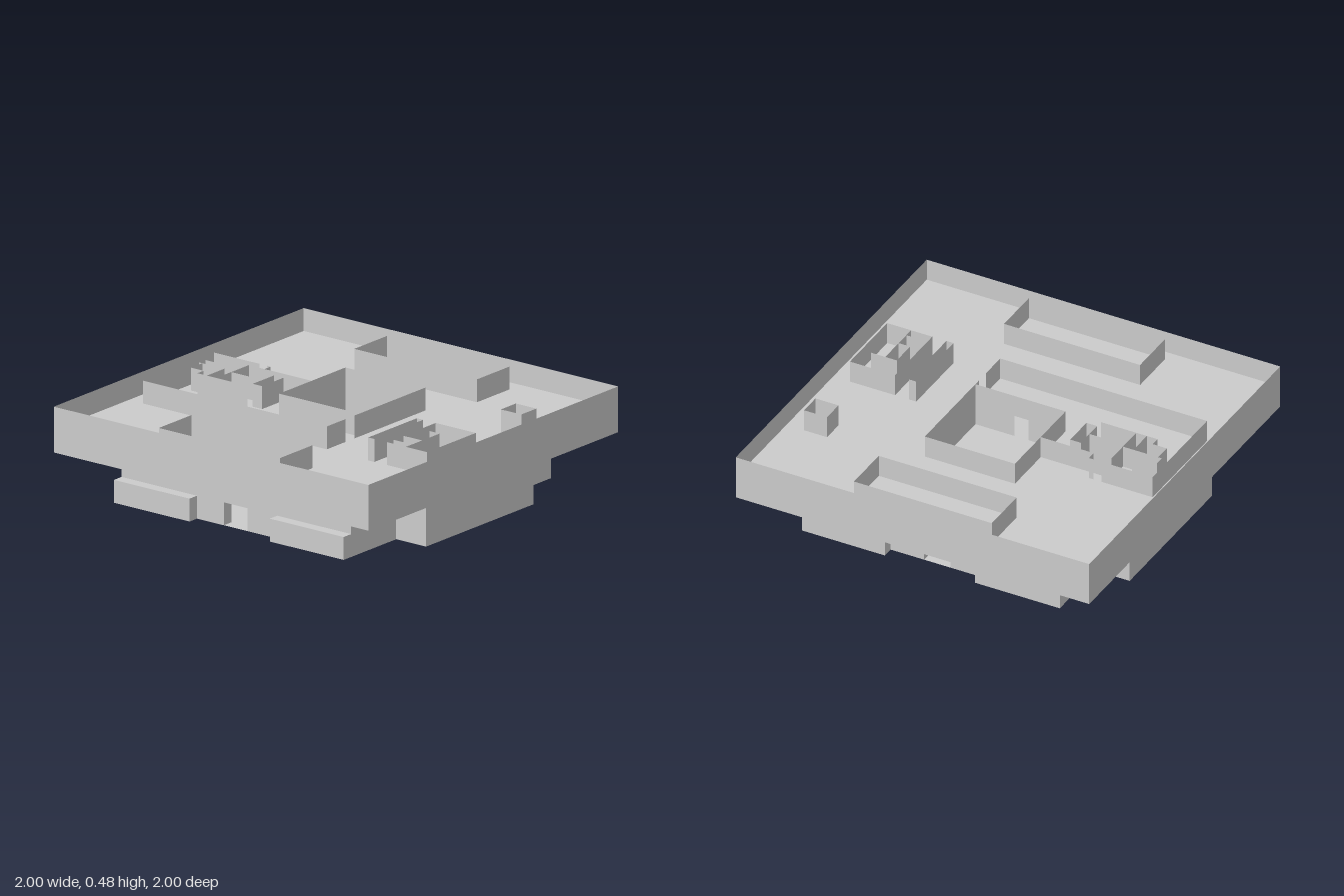
import * as THREE from 'three';

const mat = new THREE.MeshStandardMaterial({ color: 0xcccccc, side: THREE.DoubleSide, flatShading: true });
const LEVEL = [0, 0.12, 0.24, 0.36, 0.48]; // storey heights

// Thin upright wall following [x, z] points between two heights.
function wall(parent, name, pts, y0, y1, closed = false) {
  const path = closed ? [...pts, pts[0]] : pts;
  const pos = [];
  for (let i = 0; i + 1 < path.length; i++) {
    const [ax, az] = path[i], [bx, bz] = path[i + 1];
    pos.push(ax, y0, az, bx, y0, bz, bx, y1, bz, ax, y0, az, bx, y1, bz, ax, y1, az);
  }
  const geo = new THREE.BufferGeometry();
  geo.setAttribute('position', new THREE.Float32BufferAttribute(pos, 3));
  geo.computeVertexNormals();
  const mesh = new THREE.Mesh(geo, mat);
  mesh.name = name;
  parent.add(mesh);
}

// Thin floor with an [x, z] outline and optional hole.
function floor(parent, name, outline, y, hole) {
  const toV = (p) => new THREE.Vector2(p[0], -p[1]);
  const shape = new THREE.Shape(outline.map(toV));
  if (hole) shape.holes.push(new THREE.Path(hole.map(toV)));
  const geo = new THREE.ShapeGeometry(shape).rotateX(-Math.PI / 2).translate(0, y, 0);
  const mesh = new THREE.Mesh(geo, mat);
  mesh.name = name;
  parent.add(mesh);
}

const rect = (x0, z0, x1, z1) => [[x0, z0], [x1, z0], [x1, z1], [x0, z1]];

export function createModel() {
  const model = new THREE.Group();
  model.name = 'building';
  const group = (name) => {
    const g = new THREE.Group();
    g.name = name;
    model.add(g);
    return g;
  };

  // Ground storey: cross plan, front pavilions and a recessed entrance on both ends
  const ground = group('groundStorey');
  const eastSide = [[0.27, -0.73], [0.27, -0.79], [0.74, -0.79], [0.74, -0.41], [0.93, -0.41],
    [0.93, 0.45], [0.74, 0.45], [0.74, 0.87], [0.27, 0.87], [0.27, 0.81]];
  const westSide = [[-0.24, 0.81], [-0.24, 0.87], [-0.72, 0.87], [-0.72, 0.45], [-0.91, 0.45],
    [-0.91, -0.41], [-0.72, -0.41], [-0.72, -0.79], [-0.24, -0.79], [-0.24, -0.73]];
  const groundPlan = [...eastSide, ...westSide];
  floor(ground, 'groundFloor', groundPlan, LEVEL[0]);
  floor(ground, 'groundCeiling', groundPlan, LEVEL[1]);
  // Outer walls, turning inward at the doorways
  wall(ground, 'leftOuterWall', [[0.08, -0.67], [0.08, -0.73], ...eastSide, [0.08, 0.81], [0.08, 0.75]], LEVEL[0], LEVEL[1]);
  wall(ground, 'rightOuterWall', [[-0.07, 0.75], [-0.07, 0.81], ...westSide, [-0.07, -0.73], [-0.07, -0.67]], LEVEL[0], LEVEL[1]);

  // Second storey: plain cross plan
  const second = group('secondStorey');
  const cross = [[0.74, -0.79], [0.74, -0.41], [0.93, -0.41], [0.93, 0.45], [0.74, 0.45], [0.74, 0.81],
    [-0.72, 0.81], [-0.72, 0.45], [-0.91, 0.45], [-0.91, -0.41], [-0.72, -0.41], [-0.72, -0.79]];
  wall(second, 'secondStoreyWalls', cross, LEVEL[1], LEVEL[2], true);

  // Wide square upper storeys, with an atrium opening in the top floor
  const upper = group('upperStoreys');
  const square = rect(-1, -1, 1, 1);
  const atrium = rect(-0.25, -0.39, 0.26, 0.14);
  floor(upper, 'thirdFloor', square, LEVEL[2]);
  floor(upper, 'topFloor', square, LEVEL[3], atrium);
  wall(upper, 'upperOuterWalls', square, LEVEL[2], LEVEL[4], true);

  // Atrium: full walls above, doorway below
  wall(upper, 'atriumUpperWalls', atrium, LEVEL[3], LEVEL[4], true);
  wall(upper, 'atriumLowerWalls',
    [[-0.04, 0.14], [-0.25, 0.14], [-0.25, -0.39], [0.26, -0.39], [0.26, 0.14], [0.04, 0.14]], LEVEL[2], LEVEL[3]);

  // Enclosed rooms on the top floor
  const rooms = group('topRooms');
  const closedRooms = {
    backLongRoom: [-0.4, -0.91, 0.38, -0.65],
    frontLongRoom: [-0.38, 0.68, 0.39, 0.94],
    smallRoom: [0.77, -0.47, 0.9, -0.35],
    narrowRoom: [0.53, 0.02, 0.57, 0.41],
    serviceBlock: [0.65, 0.02, 0.905, 0.41],
    closet: [-0.45, -0.07, -0.39, 0.1],
  };
  for (const [name, r] of Object.entries(closedRooms)) wall(rooms, name, rect(...r), LEVEL[3], LEVEL[4], true);

  // Open partitions on the top floor
  const partitions = {
    hallWall: [[-0.91, -0.12], [-0.91, 0.4], [0.26, 0.4], [0.26, 0.25]],
    hallStub: [[0.26, 0.14], [0.26, 0.18]],
    corridorWall: [[-0.65, 0.14], [-0.65, -0.12], [-0.25, -0.12]],
    backPartition: [[-0.62, -0.17], [-0.91, -0.17], [-0.91, -0.12]],
    backStub: [[-0.575, -0.17], [-0.55, -0.17], [-0.55, -0.12]],
    crossPartition: [[-0.65, 0.02], [-0.45, 0.02]],
    steppedPartition: [[-0.73, -0.05], [-0.87, -0.05], [-0.87, 0], [-0.85, 0], [-0.85, 0.09],
      [-0.77, 0.09], [-0.77, 0.14], [-0.45, 0.14]],
    innerPartition: [[-0.85, 0], [-0.65, 0]],
    cellPartition: [[-0.71, 0], [-0.71, 0.14]],
    serviceLongPartition: [[0.77, 0.41], [0.77, 0.14]],
    serviceBentPartition: [[0.85, 0.14], [0.705, 0.14], [0.705, 0.28]],
    serviceCrossPartition: [[0.65, 0.28], [0.77, 0.28]],
    serviceFrontPartition: [[0.65, 0.36], [0.77, 0.36]],
  };
  for (const [name, p] of Object.entries(partitions)) wall(rooms, name, p, LEVEL[3], LEVEL[4]);

  return model;
}
